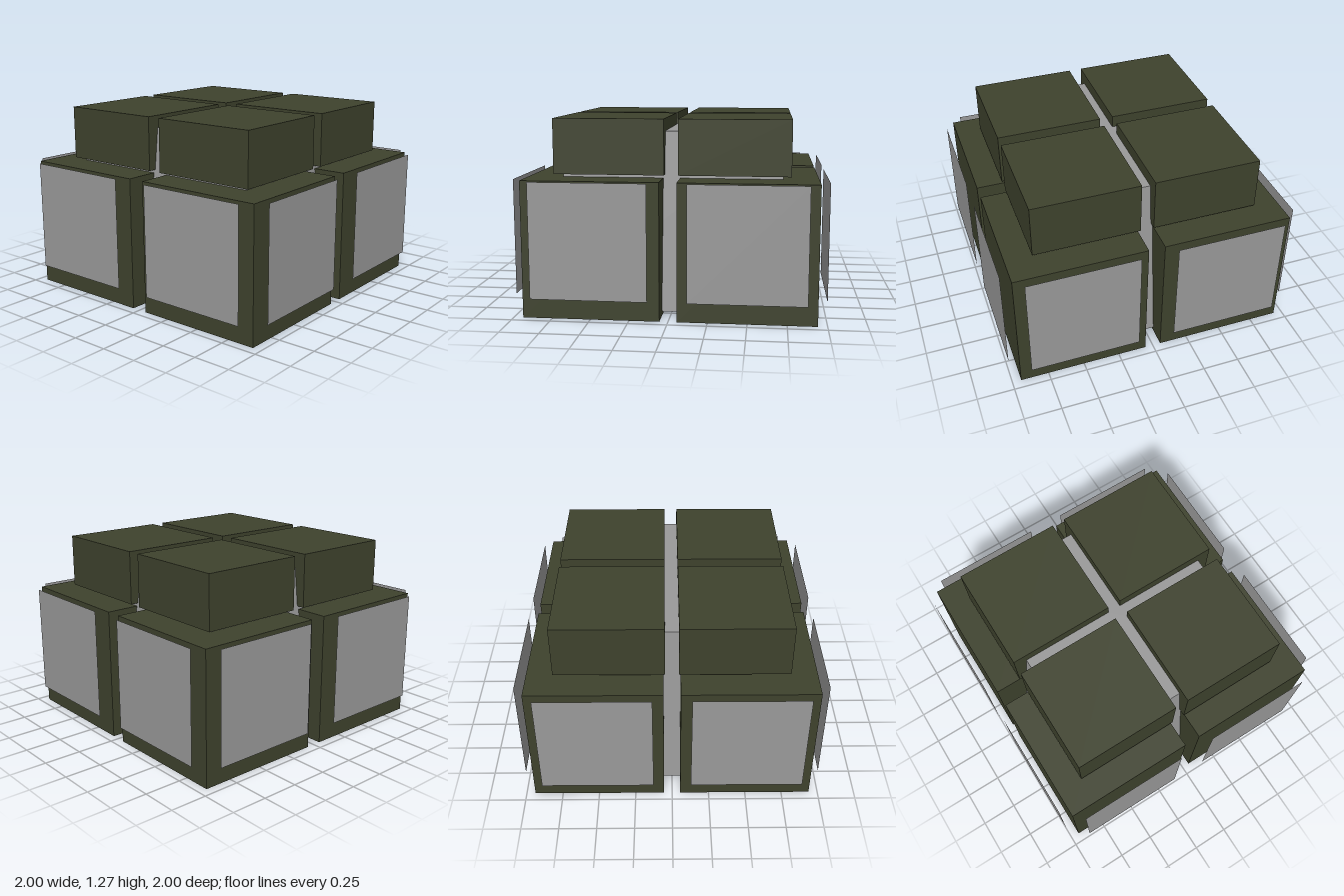
import * as THREE from 'three';

export function createModel() {
  const model = new THREE.Group();
  model.name = 'blockCluster';

  const olive = new THREE.MeshStandardMaterial({ color: 0x3e422d });
  olive.name = 'dark olive';
  const grey = new THREE.MeshStandardMaterial({ color: 0x999999, side: THREE.DoubleSide });
  grey.name = 'mid grey';

  const add = (name, geometry, material, x, y, z) => {
    const mesh = new THREE.Mesh(geometry, material);
    mesh.name = name;
    mesh.position.set(x, y, z);
    model.add(mesh);
    return mesh;
  };

  // Tapered square core filling the gaps between the blocks
  const coreGeometry = new THREE.CylinderGeometry(0.68 * Math.SQRT2, 0.81 * Math.SQRT2, 1.16, 4)
    .rotateY(Math.PI / 4)
    .toNonIndexed();
  coreGeometry.computeVertexNormals();
  add('core', coreGeometry, grey, 0, 0.61, 0);

  const lowerGeometry = new THREE.BoxGeometry(0.885, 0.89, 0.885);
  const upperGeometry = new THREE.BoxGeometry(0.72, 0.36, 0.72);
  const panelGeometry = new THREE.PlaneGeometry(0.75, 0.75);

  for (const sx of [-1, 1]) {
    for (const sz of [-1, 1]) {
      // Large lower block and smaller upper block in each quarter
      add('lowerBlock', lowerGeometry, olive, sx * 0.4975, 0.445, sz * 0.4975);
      add('upperBlock', upperGeometry, olive, sx * 0.405, 1.092, sz * 0.405);

      // Panels standing just clear of the two outer faces
      const endPanel = add('endPanel', panelGeometry, grey, sx * 0.5, 0.515, sz);
      endPanel.rotation.y = sz > 0 ? 0 : Math.PI;
      const sidePanel = add('sidePanel', panelGeometry, grey, sx, 0.515, sz * 0.5);
      sidePanel.rotation.y = sx * Math.PI / 2;
    }
  }

  return model;
}
